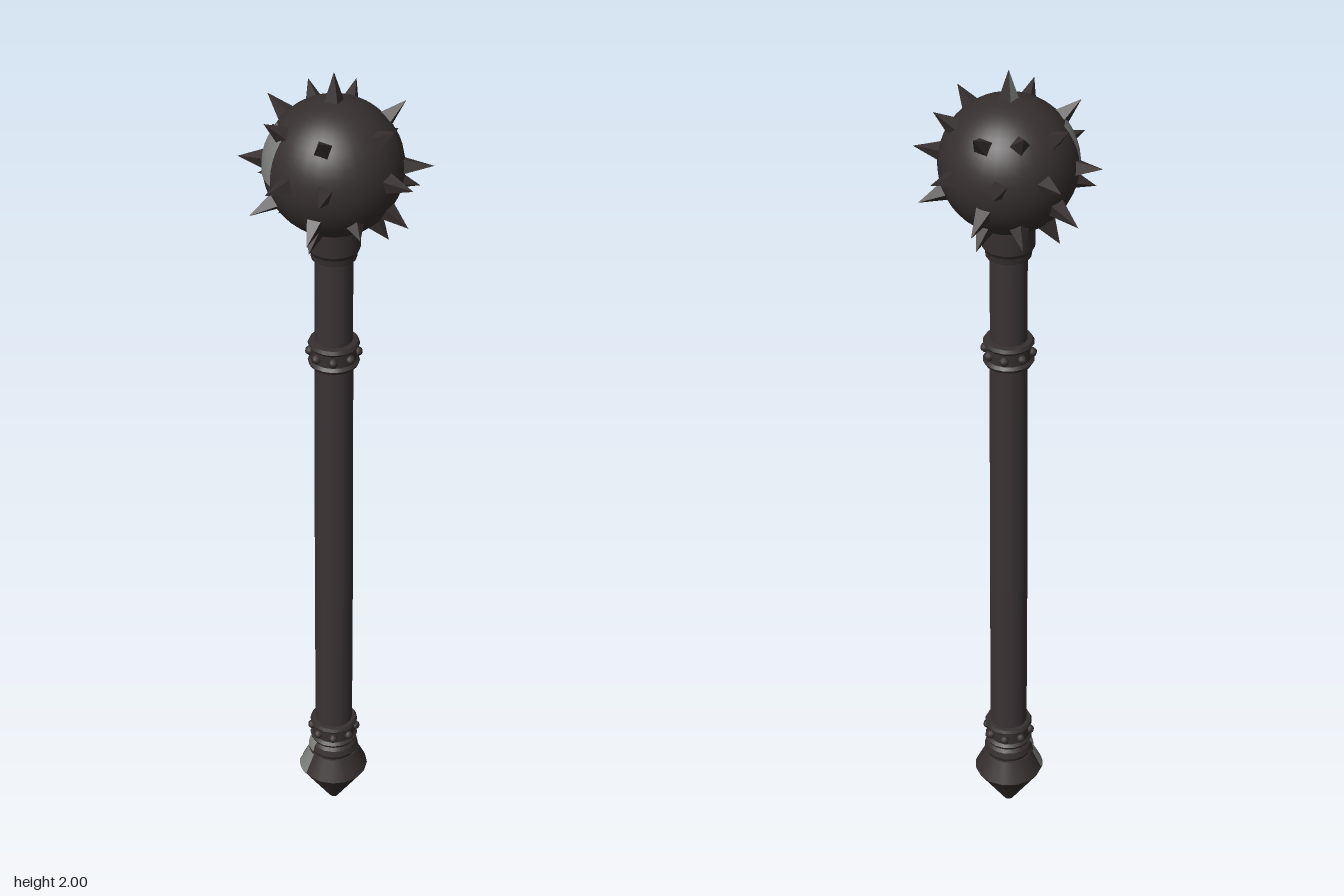
import * as THREE from 'three';

const mat = (name, color) => {
  const m = new THREE.MeshStandardMaterial({ color });
  m.name = name;
  return m;
};

export function createModel() {
  const group = new THREE.Group();
  const iron = mat('dark iron', 0x362f2f);
  const grip = mat('dark grip', 0x3b3335);
  const worn = mat('worn bright metal', 0x7d807d);

  const add = (name, geometry, material, parent = group) => {
    const mesh = new THREE.Mesh(geometry, material);
    mesh.name = name;
    parent.add(mesh);
    return mesh;
  };
  const profile = (points) => points.map(([r, y]) => new THREE.Vector2(r, y));

  // Turned part whose profile corners stay crisp: one lathe strip per segment
  const turned = (name, points, material, sides = 16) => {
    const part = new THREE.Group();
    part.name = name;
    for (let i = 0; i < points.length - 1; i++) {
      const strip = profile([points[i], points[i + 1]]);
      add(name + 'Section', new THREE.LatheGeometry(strip, sides), material, part);
    }
    group.add(part);
  };

  // Thin bright plate on the -x side, where the dark finish has worn off
  const wornPatch = (name, points, fromDeg, toDeg) => {
    const rad = THREE.MathUtils.degToRad;
    add(name, new THREE.LatheGeometry(profile(points), 6, rad(fromDeg), rad(toDeg - fromDeg)), worn);
  };

  // Shaft: thick grip, slightly thinner neck
  turned('shaft', [[0.045, 0.2], [0.045, 0.7], [0.043, 1.31]], grip);
  turned('neck', [[0.042, 1.34], [0.042, 1.6]], grip);

  // Collar under the ball
  turned('collar', [[0.04, 1.565], [0.05, 1.57], [0.052, 1.585], [0.058, 1.595],
    [0.058, 1.65], [0.05, 1.67]], iron);

  // Banded rings with studs
  const studdedBand = (name, y) => {
    turned(name, [[0.04, y - 0.032], [0.054, y - 0.03], [0.058, y - 0.022], [0.052, y - 0.015],
      [0.052, y + 0.015], [0.058, y + 0.022], [0.054, y + 0.03], [0.04, y + 0.032]], iron);
    const stud = new THREE.SphereGeometry(0.011, 8, 6);
    for (let i = 0; i < 8; i++) {
      const a = (i + 0.5) * Math.PI / 4;
      add(name + 'Stud', stud, iron).position.set(0.053 * Math.cos(a), y, 0.053 * Math.sin(a));
    }
  };
  studdedBand('upperBand', 1.33);
  studdedBand('lowerBand', 0.237);

  // Ring above the pommel
  turned('pommelRing', [[0.045, 0.165], [0.056, 0.17], [0.06, 0.18], [0.056, 0.195],
    [0.046, 0.208]], iron);
  wornPatch('wornRingPatch', [[0.062, 0.179], [0.058, 0.196], [0.048, 0.209]], 245, 285);

  // Pommel coming to a point
  turned('pommel', [[0, 0], [0.012, 0.006], [0.083, 0.115], [0.058, 0.168], [0, 0.172]], iron);
  wornPatch('wornPommelPatch', [[0.085, 0.117], [0.061, 0.168]], 245, 285);

  // Spiked ball
  const centre = new THREE.Vector3(0, 1.787, 0);
  add('ball', new THREE.SphereGeometry(0.15, 32, 24), iron).position.copy(centre);
  const arc = [];
  for (let i = 0; i <= 6; i++) {
    const a = THREE.MathUtils.degToRad(-4 + i * 7.3);
    arc.push([0.152 * Math.cos(a), centre.y + 0.152 * Math.sin(a)]);
  }
  wornPatch('wornBallPatch', arc, 247, 279);

  // Four-sided spikes, placed by their tips relative to the ball centre
  const up = new THREE.Vector3(0, 1, 0);
  const spike = (x, y, z, material = iron) => {
    const tip = new THREE.Vector3(x, y, z);
    const length = tip.length() - 0.135;
    const geometry = new THREE.ConeGeometry(0.026, length, 4, 1, true).toNonIndexed();
    geometry.computeVertexNormals();
    geometry.translate(0, 0.135 + length / 2, 0);
    geometry.clearGroups();
    for (let face = 0; face < 4; face++) geometry.addGroup(face * 3, 3, face === 2 ? 1 : 0);
    const mesh = add('spike', geometry, [iron, material]);
    mesh.position.copy(centre);
    mesh.quaternion.setFromUnitVectors(up, tip.normalize());
  };
  const mirrored = (x, y, z) => [1, -1].forEach((s) => spike(s * x, y, z));

  // Crown, with one bright face towards the back, and upper ring
  spike(0, 0.213, 0, worn);
  spike(0, 0.13, -0.155);
  mirrored(0.157, 0.128, 0.01);
  mirrored(0.083, 0.128, 0.135);
  mirrored(0.1, 0.125, -0.13);

  // Middle ring
  mirrored(0.187, 0.012, 0.097);
  mirrored(0.182, 0.012, -0.09);
  mirrored(0.103, 0.012, 0.187);
  mirrored(0.07, 0.018, -0.193);

  // Lower rings
  mirrored(0.193, -0.078, 0.01);
  mirrored(0.113, -0.1, 0.14);
  mirrored(0.113, -0.078, -0.167);
  spike(0, -0.1, 0.155);
  spike(0, -0.13, -0.15);
  mirrored(0.09, -0.148, 0.09);
  mirrored(0.09, -0.148, -0.1);

  return group;
}
